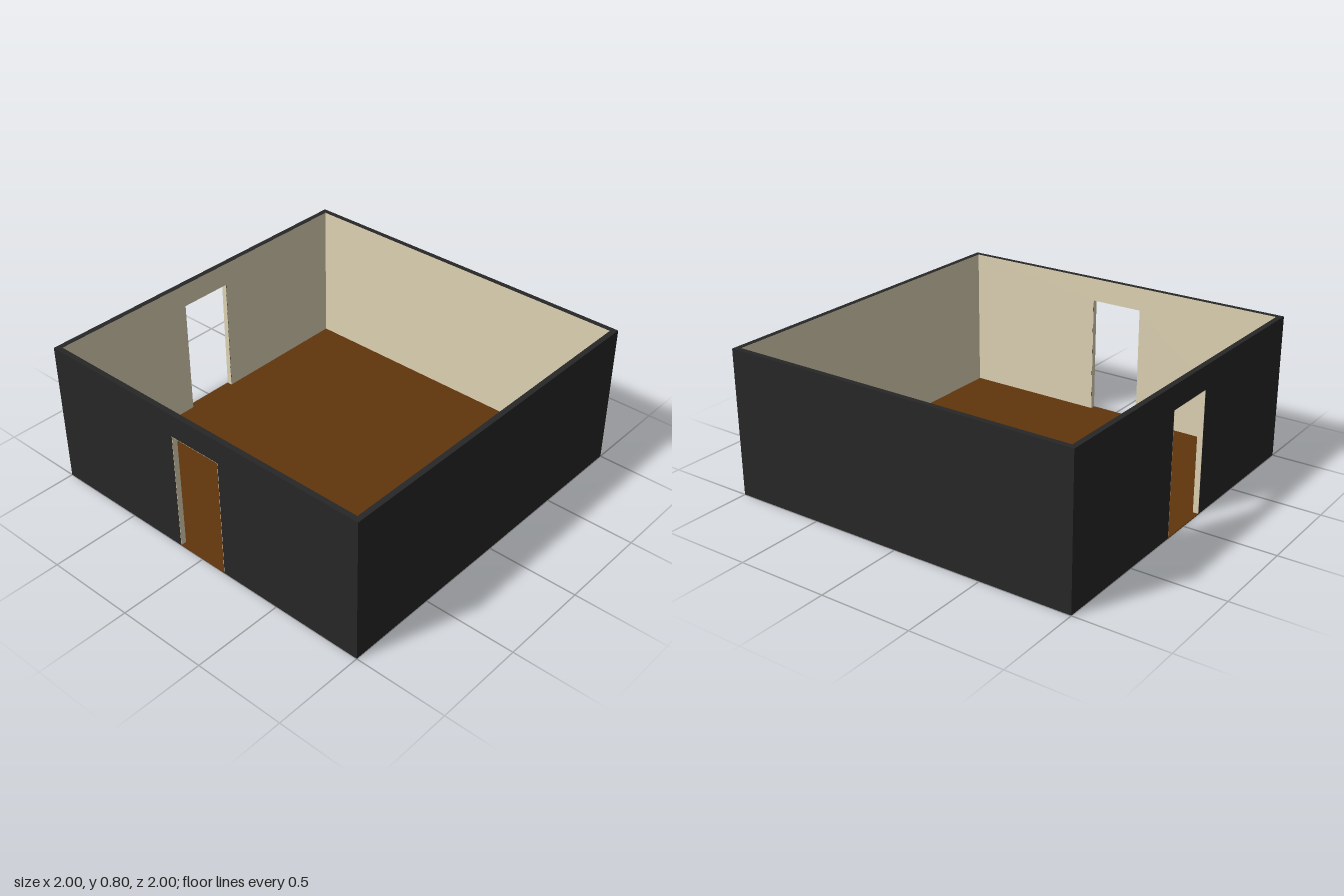
import * as THREE from 'three';

const HEIGHT = 0.8, THICK = 0.03, INNER = 1 - THICK;
const DOOR_HALF = 0.153, DOOR_TOP = 0.672, SKIN = 0.002, FLOOR = 0.004;

const material = color => new THREE.MeshStandardMaterial({ color });

// Upright rectangle, with an optional doorway cut up from its base
function wallShape(half, base, height, door) {
  const s = new THREE.Shape();
  s.moveTo(-half, base);
  if (door) {
    s.lineTo(-DOOR_HALF, base);
    s.lineTo(-DOOR_HALF, DOOR_TOP);
    s.lineTo(DOOR_HALF, DOOR_TOP);
    s.lineTo(DOOR_HALF, base);
  }
  s.lineTo(half, base);
  s.lineTo(half, height);
  s.lineTo(-half, height);
  s.closePath();
  return s;
}

// Thin reveal that lines the sides and top of a doorway
function revealShape() {
  const a = DOOR_HALF, b = DOOR_HALF - SKIN, t = DOOR_TOP;
  return new THREE.Shape([
    [-a, FLOOR], [-b, FLOOR], [-b, t - SKIN], [b, t - SKIN],
    [b, FLOOR], [a, FLOOR], [a, t], [-a, t],
  ].map(([x, y]) => new THREE.Vector2(x, y)));
}

export function createModel() {
  const model = new THREE.Group();
  model.name = 'room';
  const dark = material(0x272727), cream = material(0xded3b4), brown = material(0x60360d);

  const add = (parent, name, geometry, mat) => {
    const mesh = new THREE.Mesh(geometry, mat);
    mesh.name = name;
    parent.add(mesh);
    return mesh;
  };

  // Floor slab with a threshold strip running under the middle of each wall
  add(model, 'floor', new THREE.BoxGeometry(2 * INNER, FLOOR, 2 * INNER), brown)
    .position.y = FLOOR / 2;

  // Walls face +z locally and are turned into place
  const walls = [
    { name: 'front', angle: 0, half: 1, door: true },
    { name: 'back', angle: Math.PI, half: 1, door: false },
    { name: 'right', angle: -Math.PI / 2, half: INNER, door: true },
    { name: 'left', angle: Math.PI / 2, half: INNER, door: false },
  ];
  for (const { name, angle, half, door } of walls) {
    const wall = new THREE.Group();
    wall.name = name + 'Wall';
    wall.rotation.y = angle;
    model.add(wall);

    const extrude = { depth: THICK, bevelEnabled: false };
    add(wall, name + 'Shell',
      new THREE.ExtrudeGeometry(wallShape(half, SKIN / 2, HEIGHT, door), extrude), dark)
      .position.z = INNER;

    // Painted inner face
    const lining = add(wall, name + 'Lining',
      new THREE.ShapeGeometry(wallShape(INNER, FLOOR, HEIGHT, door)), cream);
    lining.rotation.y = Math.PI;
    lining.position.z = INNER - SKIN / 2;

    if (door) {
      add(wall, name + 'DoorReveal',
        new THREE.ExtrudeGeometry(revealShape(), extrude), cream)
        .position.z = INNER;
    }

    const threshold = door ? FLOOR : SKIN / 2;
    add(wall, name + 'Threshold',
      new THREE.BoxGeometry(2 * DOOR_HALF, threshold, THICK), brown)
      .position.set(0, threshold / 2, 1 - THICK / 2);
  }
  return model;
}
